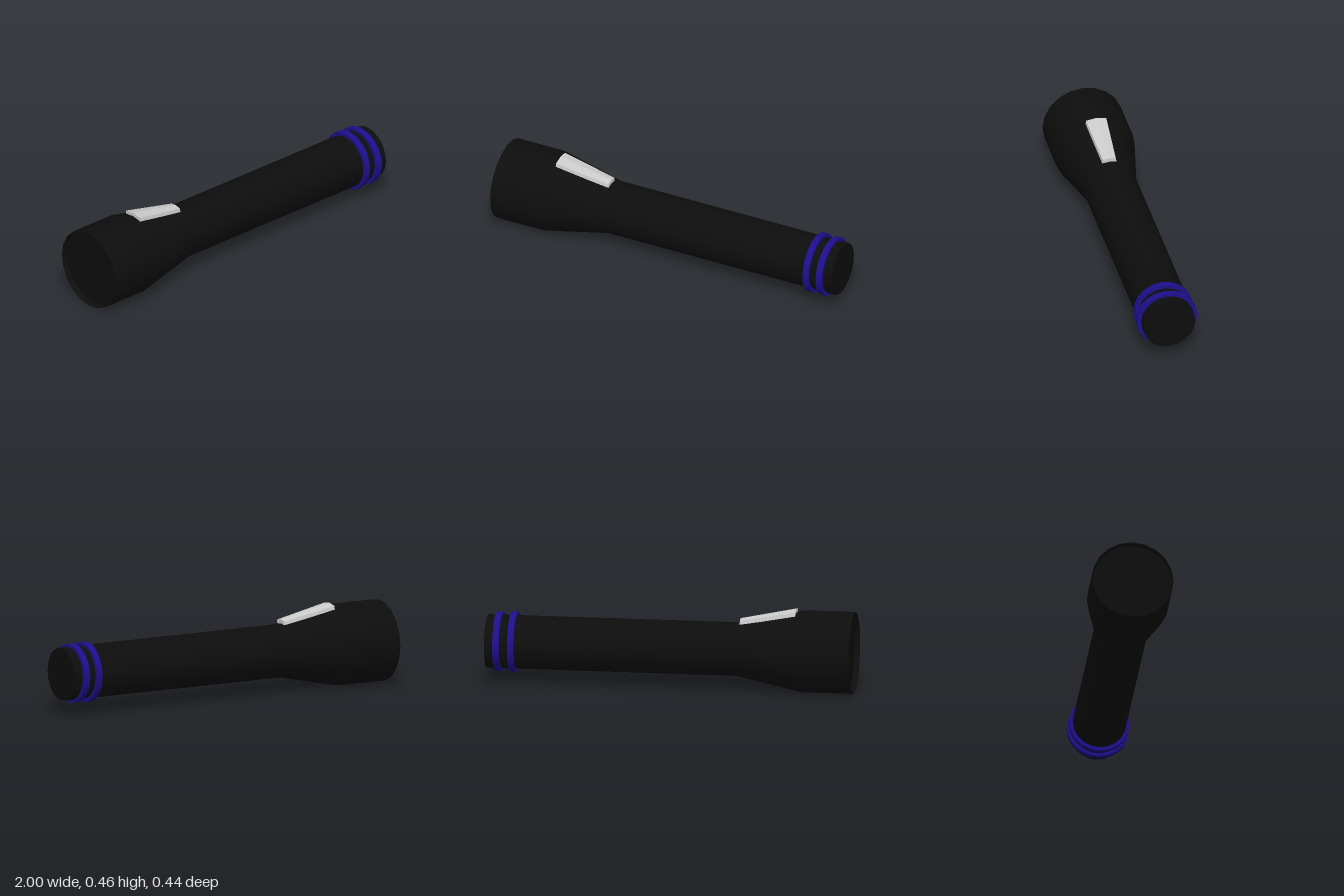
import * as THREE from 'three';
import { toCreasedNormals } from 'three/addons/utils/BufferGeometryUtils.js';
import { ConvexGeometry } from 'three/addons/geometries/ConvexGeometry.js';

const SIDES = 20;
const AXIS_Y = 0.223;

// Lathe around the torch's long axis; profile is a list of [x, radius]
function turned(name, profile, material) {
  const points = profile.map(([x, r]) => new THREE.Vector2(r, x));
  const geometry = toCreasedNormals(new THREE.LatheGeometry(points, SIDES), 0.5);
  geometry.rotateZ(-Math.PI / 2);
  const mesh = new THREE.Mesh(geometry, material);
  mesh.name = name;
  mesh.position.y = AXIS_Y;
  return mesh;
}

export function createModel() {
  const group = new THREE.Group();
  group.name = 'flashlight';
  const black = new THREE.MeshStandardMaterial({ color: 0x0d0d0d });
  const blue = new THREE.MeshStandardMaterial({ color: 0x1e0f8c });
  const grey = new THREE.MeshStandardMaterial({ color: 0xcccccc, flatShading: true });

  // Flared head, handle and flat end cap
  group.add(turned('body', [
    [-0.97, 0.214], [-1, 0.218], [-1, 0.222], [-0.72, 0.222],
    [-0.36, 0.145], [1, 0.145], [1, 0],
  ], black));

  // Slightly recessed lens
  group.add(turned('lens', [[-0.97, 0], [-0.97, 0.214]], black));

  // Two grip rings near the tail: [centre x, height radius, depth radius]
  for (const [x, ry, rz] of [[0.855, 0.165, 0.163], [0.935, 0.16, 0.168]]) {
    const h = 0.017;
    const ring = turned('gripRing', [
      [x - h, 0.135], [x - h, 0.165], [x + h, 0.165], [x + h, 0.135],
    ], blue);
    ring.scale.set(1, ry / 0.165, rz / 0.165);
    group.add(ring);
  }

  // Tapered switch with a low ridge: [x, half width, ridge y, edge y, base y]
  const corners = [];
  for (const [x, w, ridge, edge, base] of [
    [-0.685, 0.056, 0.457, 0.448, 0.425],
    [-0.38, 0.036, 0.395, 0.388, 0.368],
  ]) {
    corners.push(new THREE.Vector3(x, ridge, 0));
    for (const s of [-1, 1]) {
      corners.push(new THREE.Vector3(x, edge, s * w));
      corners.push(new THREE.Vector3(x, base, s * (w + 0.004)));
    }
  }
  const button = new THREE.Mesh(new ConvexGeometry(corners), grey);
  button.name = 'switch';
  group.add(button);

  return group;
}
